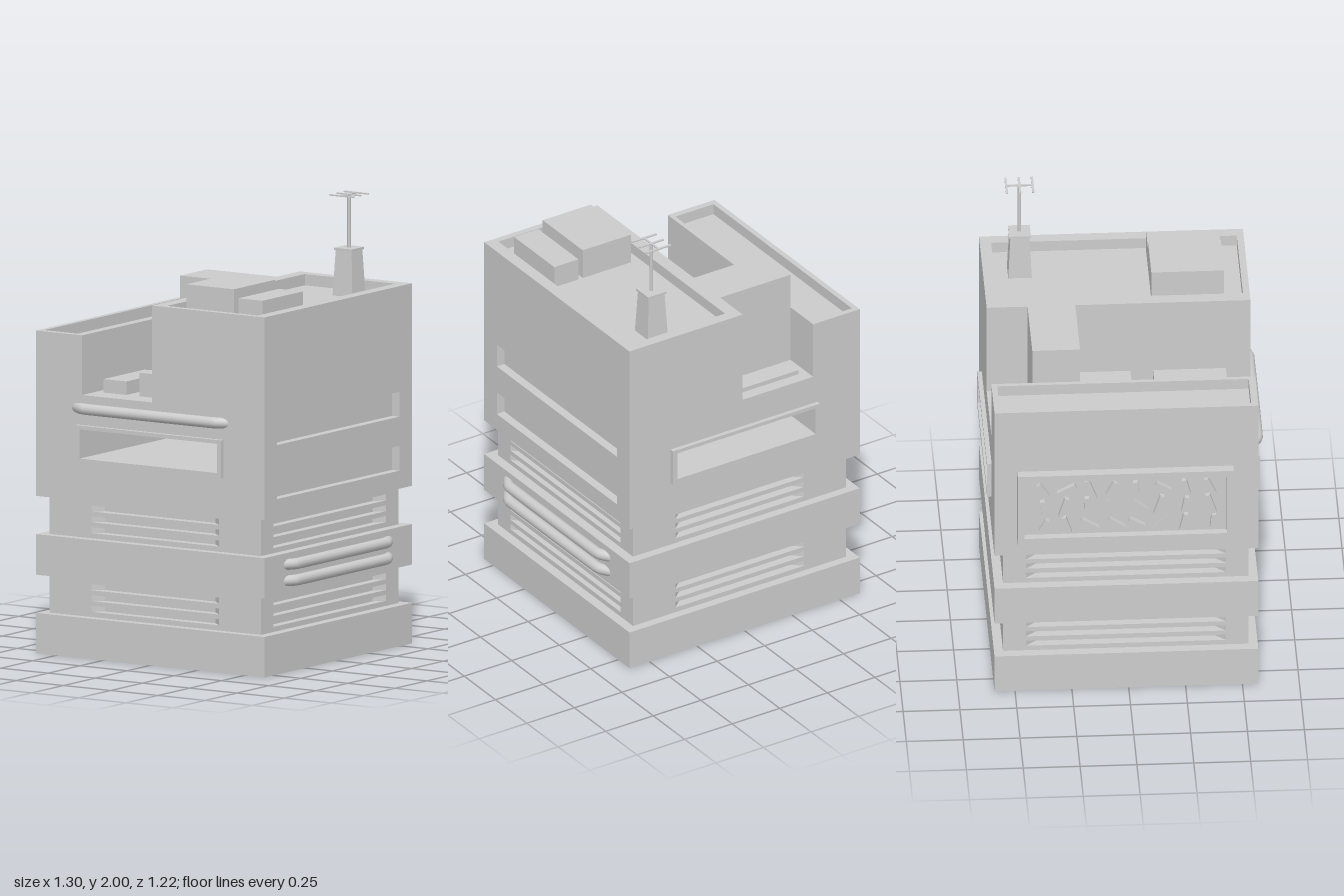
import * as THREE from 'three';

const material = new THREE.MeshStandardMaterial({ color: 0xcccccc });
const flat = new THREE.MeshStandardMaterial({ color: 0xcccccc, flatShading: true });
const HX = 0.605, HZ = 0.58; // half width and half depth of the block

function add(parent, name, geometry, mat = material) {
  const mesh = new THREE.Mesh(geometry, mat);
  mesh.name = name;
  parent.add(mesh);
  return mesh;
}

// box given by its extents on each axis
function box(parent, name, x0, x1, y0, y1, z0, z1) {
  const mesh = add(parent, name, new THREE.BoxGeometry(x1 - x0, y1 - y0, z1 - z0));
  mesh.position.set((x0 + x1) / 2, (y0 + y1) / 2, (z0 + z1) / 2);
  return mesh;
}

const rectPoints = ([x0, x1, y0, y1]) => [[x0, y0], [x1, y0], [x1, y1], [x0, y1]].map(p => new THREE.Vector2(...p));

// outline with rectangular holes, extruded along z
function plate(points, holes, depth) {
  const shape = new THREE.Shape(points);
  for (const h of holes) shape.holes.push(new THREE.Path(rectPoints(h).reverse()));
  return new THREE.ExtrudeGeometry(shape, { depth, bevelEnabled: false });
}

// horizontal ring standing on height y; rectangles are [x0, x1, z0, z1]
function parapet(parent, name, outer, inner, y, height) {
  const flip = ([a, b, c, d]) => [a, b, -d, -c];
  const mesh = add(parent, name, plate(rectPoints(flip(outer)), [flip(inner)], height).rotateX(-Math.PI / 2));
  mesh.position.y = y;
}

// group whose local +z points out of one side of the block
function side(parent, name, angle) {
  const group = new THREE.Group();
  group.name = name;
  group.rotation.y = angle;
  parent.add(group);
  return group;
}

// recessed storey with three slits in each wall
function ventStorey(parent, y0, y1) {
  const hx = 0.56, hz = 0.54, d = 0.04, slitHeight = 0.027;
  const storey = new THREE.Group();
  storey.name = 'ventStorey';
  parent.add(storey);
  box(storey, 'core', -hx + d, hx - d, y0, y1, -hz + d, hz - d);
  for (let i = 0; i < 4; i++) {
    const lateral = i % 2 === 1;
    const half = lateral ? hz - d : hx;
    const out = lateral ? hx : hz;
    const slit = lateral ? 0.44 : 0.338;
    const wall = side(storey, 'ventWall', i * Math.PI / 2);
    const rows = [0, 1, 2].map(r => y0 + 0.023 + r * 0.048);
    const holes = rows.map(y => [-slit, slit, y, y + slitHeight]);
    add(wall, 'slitPanel', plate(rectPoints([-half, half, y0, y1]), holes, d)).position.z = out - d;
    // sloping ends inside each slit
    for (const y of rows) for (const s of [-1, 1]) {
      const wedge = [[s * slit, 0], [s * slit, d], [s * (slit - 0.045), d]].map(p => new THREE.Vector2(...p));
      add(wall, 'slitEnd', plate(wedge, [], slitHeight).rotateX(-Math.PI / 2)).position.set(0, y, out);
    }
  }
}

// pipe that bends back into the wall at both ends
function pipe(parent, name, half, y, wall, bulge) {
  const points = [[-half, -0.03], [-half + 0.075, bulge], [half - 0.075, bulge], [half, -0.03]]
    .map(([x, z]) => new THREE.Vector3(x, y, wall + z));
  const curve = new THREE.CatmullRomCurve3(points, false, 'catmullrom', 0.08);
  add(parent, name, new THREE.TubeGeometry(curve, 48, 0.025, 14, false));
}

export function createModel() {
  const model = new THREE.Group();
  model.name = 'building';
  const body = new THREE.Group();
  body.name = 'body';
  body.position.z = -0.01;
  model.add(body);

  // lower storeys
  box(body, 'base', -HX, HX, 0, 0.18, -HZ, HZ);
  ventStorey(body, 0.18, 0.35);
  box(body, 'middleBand', -HX, HX, 0.35, 0.53, -HZ, HZ);
  ventStorey(body, 0.53, 0.70);

  // upper block: two towers, a court between them and a window right through
  const rim = 0.05, skin = 0.04;
  const profile = [
    [-HX, 0.70], [HX - skin, 0.70], [HX - skin, 1.6 - rim], [0.01, 1.6 - rim],
    [0.01, 1.17], [-0.36, 1.17], [-0.36, 1.435 - rim], [-HX, 1.435 - rim],
  ].map(p => new THREE.Vector2(...p));
  add(body, 'upperBlock', plate(profile, [[-0.36, 0.367, 0.89, 1.02]], 2 * HZ)).position.z = -HZ;
  parapet(body, 'tallTowerParapet', [0.01, HX, -HZ, HZ], [0.07, 0.55, -0.53, 0.55], 1.6 - rim, rim);
  parapet(body, 'lowTowerParapet', [-HX, -0.36, -HZ, HZ], [-0.58, -0.38, -0.555, 0.55], 1.435 - rim, rim);
  box(body, 'crossWall', -0.36, 0.01, 1.17, 1.6, -0.40, -0.19);

  // window frames
  for (const z of [HZ, -HZ - 0.02]) {
    const frame = plate(rectPoints([-0.383, 0.39, 0.868, 1.037]), [[-0.36, 0.367, 0.89, 1.02]], 0.02);
    add(body, 'windowFrame', frame).position.z = z;
  }

  // side wall with two long niches and a pair of pipes
  const leftSide = side(body, 'leftSide', Math.PI / 2);
  const niches = [[-0.48, 0.48, 0.78, 0.89], [-0.48, 0.48, 1.02, 1.13]];
  add(leftSide, 'nicheWall', plate(rectPoints([-HZ, HZ, 0.70, 1.6 - rim]), niches, skin)).position.z = HX - skin;
  for (const y of [0.405, 0.478]) pipe(leftSide, 'sidePipe', 0.425, y, HX, 0.017);

  // front pipe
  pipe(body, 'frontPipe', 0.415, 1.11, HZ, 0.01);

  // framed relief panel on the other side
  const rightSide = side(body, 'rightSide', -Math.PI / 2);
  const panel = [-0.48, 0.47, 0.78, 1.13];
  add(rightSide, 'panelFrame', plate(rectPoints(panel), [[-0.45, 0.44, 0.81, 1.10]], 0.045)).position.z = HX;
  box(rightSide, 'panelBack', -0.455, 0.445, 0.805, 1.105, HX - 0.01, HX + 0.01);
  let seed = 7;
  const random = () => (seed = (seed * 16807) % 2147483647) / 2147483647;
  for (let c = 0; c < 8; c++) for (let r = 0; r < 3; r++) {
    const bar = add(rightSide, 'reliefBar', new THREE.BoxGeometry(0.02, 0.06 + 0.04 * random(), 0.03));
    bar.position.set(-0.375 + c * 0.106 + 0.03 * (random() - 0.5), 0.865 + r * 0.09, HX + 0.02);
    bar.rotation.z = (random() - 0.5) * 2.4;
  }

  // boxes in the court
  for (const [z0, z1] of [[-0.19, 0.05], [0.15, 0.47]]) {
    box(body, 'courtBox', -0.32, -0.20, 1.17, 1.23, z0, z1);
    box(body, 'courtBox', -0.13, -0.025, 1.17, 1.275, z0, z1);
  }
  box(body, 'rearStep', -0.32, -0.025, 1.17, 1.19, -0.525, -0.48);

  // rooftop units
  box(body, 'largeRoofUnit', 0.118, 0.37, 1.55, 1.69, 0.15, 0.47);
  box(body, 'smallRoofUnit', 0.393, 0.52, 1.55, 1.652, 0.15, 0.47);

  // aerial on a tapered plinth
  const aerial = new THREE.Group();
  aerial.name = 'aerial';
  aerial.position.set(0.382, 0, -0.415);
  body.add(aerial);
  const plinth = new THREE.CylinderGeometry(0.042 * Math.SQRT2, 0.052 * Math.SQRT2, 0.205, 4).rotateY(Math.PI / 4);
  add(aerial, 'plinth', plinth, flat).position.y = 1.6525;
  box(aerial, 'plinthCap', -0.048, 0.048, 1.752, 1.762, -0.048, 0.048);
  add(aerial, 'mast', new THREE.CylinderGeometry(0.008, 0.008, 0.24, 12)).position.y = 1.877;
  box(aerial, 'boom', -0.005, 0.005, 1.994, 2, -0.064, 0.064);
  for (const z of [-0.058, 0, 0.058]) box(aerial, 'crossbar', -0.064, 0.064, 1.994, 2, z - 0.005, z + 0.005);

  return model;
}
